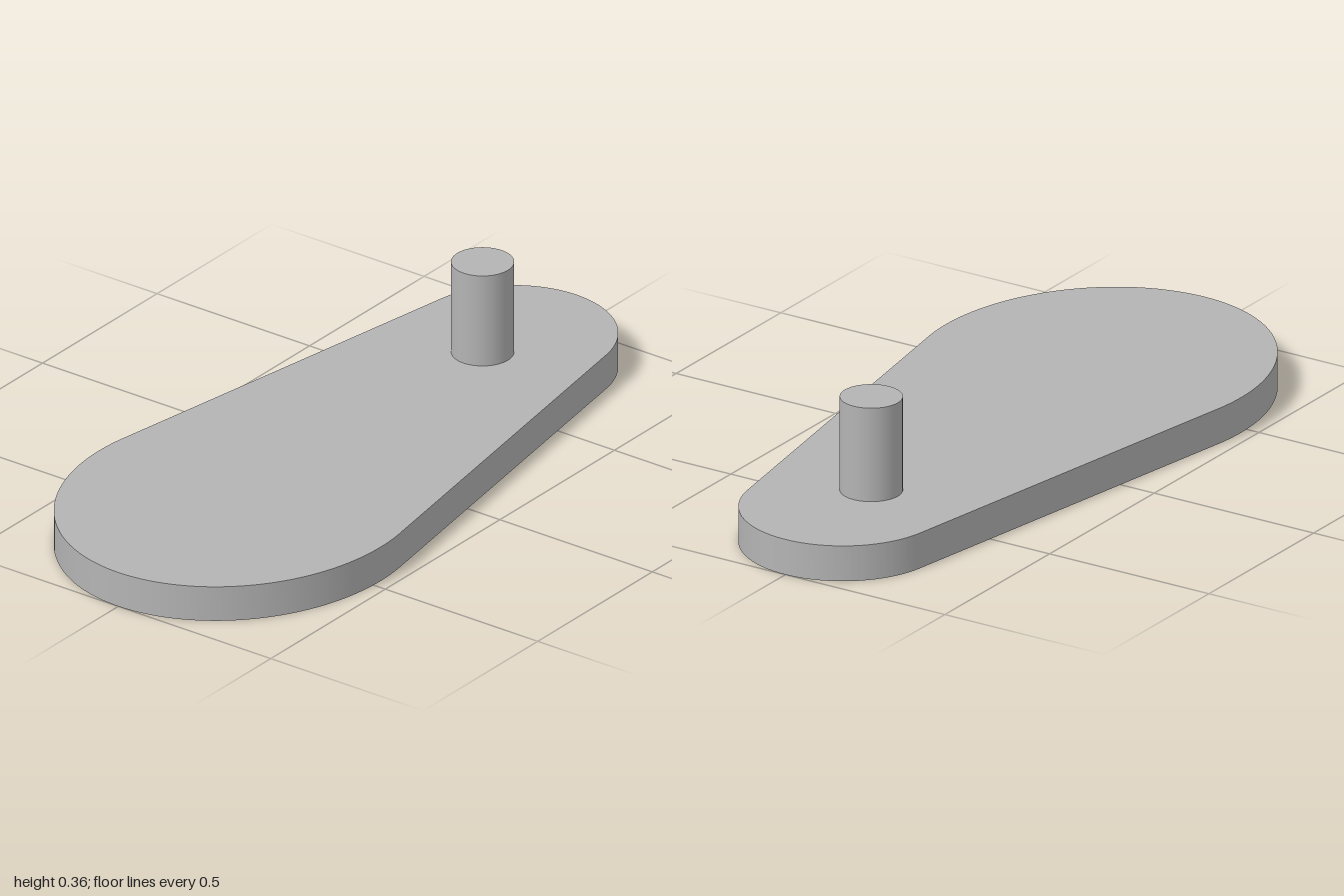
import * as THREE from 'three';
import { toCreasedNormals } from 'three/addons/utils/BufferGeometryUtils.js';

export function createModel() {
  const group = new THREE.Group();
  const grey = new THREE.MeshStandardMaterial({ color: 0xb4b4b4 });
  grey.name = 'grey';

  // Tapered plate: wide oval front end, straight flanks, round rear end
  const thickness = 0.1;
  const taper = 0.16;
  const outline = new THREE.Shape();
  outline.absellipse(0, 0.47, 0.462, 0.53, -taper, Math.PI + taper, false);
  outline.absellipse(0, -0.726, 0.274, 0.274, Math.PI + taper, 2 * Math.PI - taper, false);
  outline.closePath();
  const plateGeometry = new THREE.ExtrudeGeometry(outline, {
    depth: thickness, bevelEnabled: false, curveSegments: 48,
  });
  plateGeometry.rotateX(Math.PI / 2).translate(0, thickness, 0);
  const plate = new THREE.Mesh(toCreasedNormals(plateGeometry, 0.5), grey);
  plate.name = 'plate';
  group.add(plate);

  // Upright pin near the narrow end
  const pinHeight = 0.265;
  const pin = new THREE.Mesh(new THREE.CylinderGeometry(0.083, 0.083, pinHeight, 48), grey);
  pin.name = 'pin';
  pin.position.set(0, thickness + pinHeight / 2, -0.59);
  group.add(pin);

  return group;
}
